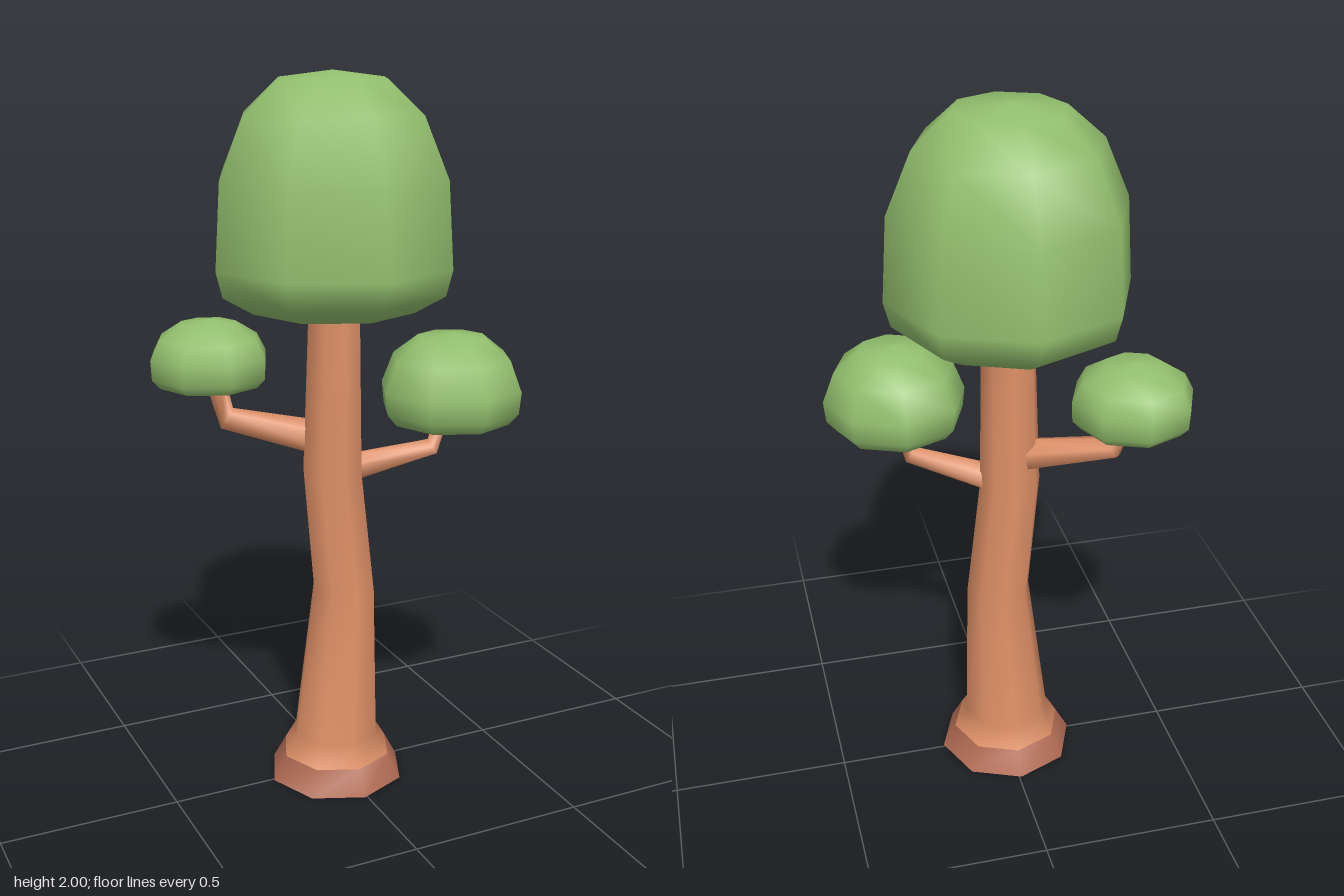
import * as THREE from 'three';

// Smooth tube through rings given as [x, y, z, radius]; level keeps the rings horizontal
function loft(rings, sides, level) {
  const pts = rings.map(r => new THREE.Vector3(r[0], r[1], r[2]));
  const pos = [], idx = [];
  const last = pts.length - 1;
  pts.forEach((p, i) => {
    const t = level ? new THREE.Vector3(0, 1, 0)
      : pts[Math.min(i + 1, last)].clone().sub(pts[Math.max(i - 1, 0)]).normalize();
    const ref = new THREE.Vector3(0, 0, 1);
    const u = new THREE.Vector3().crossVectors(t, ref).normalize();
    const v = new THREE.Vector3().crossVectors(t, u);
    for (let k = 0; k < sides; k++) {
      const a = k / sides * Math.PI * 2;
      const q = p.clone().addScaledVector(u, Math.cos(a) * rings[i][3]).addScaledVector(v, Math.sin(a) * rings[i][3]);
      pos.push(q.x, q.y, q.z);
    }
  });
  for (let i = 0; i < last; i++) {
    for (let k = 0; k < sides; k++) {
      const a = i * sides + k, b = i * sides + (k + 1) % sides;
      idx.push(a, b, b + sides, a, b + sides, a + sides);
    }
  }
  const g = new THREE.BufferGeometry();
  g.setAttribute('position', new THREE.Float32BufferAttribute(pos, 3));
  g.setIndex(idx);
  g.computeVertexNormals();
  return g;
}

export function createModel() {
  const bark = new THREE.MeshStandardMaterial({ name: 'bark', color: 0xdd8f66, side: THREE.DoubleSide });
  const darkBark = new THREE.MeshStandardMaterial({ name: 'darkBark', color: 0xb26c54, side: THREE.DoubleSide });
  const leaf = new THREE.MeshStandardMaterial({ name: 'leaf', color: 0x92be6d });

  const tree = new THREE.Group();
  tree.name = 'tree';
  const add = (name, geometry, material) => {
    const mesh = new THREE.Mesh(geometry, material);
    mesh.name = name;
    tree.add(mesh);
    return mesh;
  };

  // Flared root band, open underneath
  const z = 0.007;
  add('rootBand', loft([[-0.007, 0, z, 0.197], [-0.007, 0.07, z, 0.159]], 8, true), darkBark);

  // Gently bent trunk
  add('trunk', loft([
    [-0.007, 0.07, z, 0.159], [-0.008, 0.13, z, 0.124], [0.017, 0.57, z, 0.091],
    [-0.018, 0.92, z, 0.086], [-0.012, 1.4, z, 0.073],
  ], 8, true), bark);

  // Elbow branches
  add('rightBranch', loft([
    [-0.03, 1.01, -0.01, 0.05], [-0.275, 1.068, -0.128, 0.033], [-0.3, 1.19, -0.16, 0.03],
  ], 6), bark);
  add('leftBranch', loft([
    [0, 0.92, 0.01, 0.045], [0.243, 0.985, 0.105, 0.027], [0.268, 1.1, 0.125, 0.022],
  ], 6), bark);

  // Rounded leaf domes with flat undersides, profile as [radius, height]
  const dome = (name, x, zc, profile) => {
    const g = new THREE.LatheGeometry(profile.map(p => new THREE.Vector2(p[0], p[1])), 8);
    add(name, g, leaf).position.set(x, 0, zc);
  };
  dome('crown', -0.013, 0, [
    [0, 1.38], [0.23, 1.38], [0.315, 1.43], [0.333, 1.5], [0.318, 1.73],
    [0.25, 1.89], [0.15, 1.98], [0, 2],
  ]);
  dome('rightLeaves', -0.307, -0.172, [
    [0, 1.16], [0.142, 1.16], [0.165, 1.185], [0.168, 1.24], [0.142, 1.29],
    [0.08, 1.33], [0, 1.342],
  ]);
  dome('leftLeaves', 0.277, 0.14, [
    [0, 1.068], [0.165, 1.068], [0.192, 1.1], [0.198, 1.16], [0.165, 1.245],
    [0.095, 1.3], [0, 1.313],
  ]);
  return tree;
}
